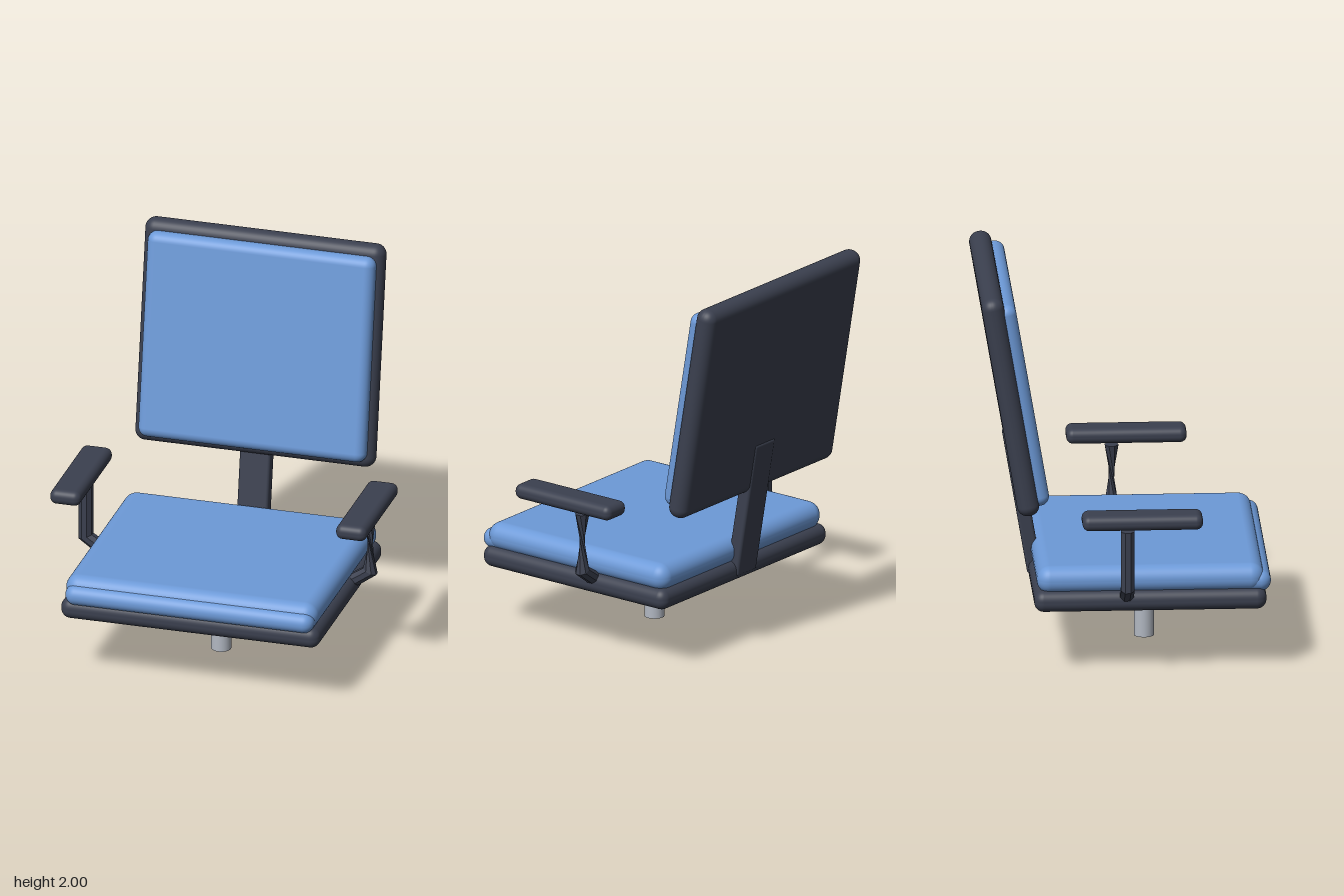
import * as THREE from 'three';
import { RoundedBoxGeometry } from 'three/addons/geometries/RoundedBoxGeometry.js';

const fabric = new THREE.MeshStandardMaterial({ color: 0x6d9ad8 });
fabric.name = 'blue fabric';
const plastic = new THREE.MeshStandardMaterial({ color: 0x3b404f });
plastic.name = 'dark plastic';
const armPlastic = plastic.clone();
armPlastic.name = 'dark arm plastic';
armPlastic.side = THREE.DoubleSide;
const metal = new THREE.MeshStandardMaterial({ color: 0xb2b8c2 });
metal.name = 'grey metal';

function pad(name, material, size, position, radius) {
  const mesh = new THREE.Mesh(new RoundedBoxGeometry(...size, 5, radius), material);
  mesh.name = name;
  mesh.position.set(...position);
  return mesh;
}

// Bent eight-sided arm post; twist (in steps of 1/8 turn) turns the upper ring
function armPostGeometry(side, twist) {
  const sides = 8, r = 0.038;
  const slope = Math.PI / 4;
  // x, y, tilt of the ring in the xy plane, stretch at the mitred elbow, twist
  const rings = [
    [0.675, 0.42, slope, 1, 0],
    [0.762, 0.48, slope / 2, 1.08, 0],
    [0.762, 0.79, 0, 1, twist],
  ];
  const points = [], index = [];
  for (const [x, y, tilt, stretch, turn] of rings) {
    for (let i = 0; i < sides; i++) {
      const a = ((i + turn + 0.5) / sides) * Math.PI * 2;
      const u = Math.cos(a) * r * stretch;
      points.push(side * (x + u * Math.cos(tilt)), y - u * Math.sin(tilt), Math.sin(a) * r);
    }
  }
  const face = (a, b, c) => index.push(...(side > 0 ? [a, c, b] : [a, b, c]));
  for (let j = 0; j < rings.length - 1; j++) {
    for (let i = 0; i < sides; i++) {
      const n = (i + 1) % sides;
      const a = j * sides + i, b = j * sides + n;
      face(a, b, b + sides);
      face(a, b + sides, a + sides);
    }
  }
  // End caps
  const top = (rings.length - 1) * sides;
  for (let i = 1; i < sides - 1; i++) {
    face(0, i + 1, i);
    face(top, top + i, top + i + 1);
  }
  const geometry = new THREE.BufferGeometry();
  geometry.setAttribute('position', new THREE.Float32BufferAttribute(points, 3));
  geometry.setIndex(index);
  const flat = geometry.toNonIndexed();
  flat.computeVertexNormals();
  return flat;
}

export function createModel() {
  const chair = new THREE.Group();
  chair.name = 'officeChair';

  // Seat
  const seat = new THREE.Group();
  seat.name = 'seat';
  seat.add(
    pad('seatBase', plastic, [1.385, 0.112, 1.195], [0, 0.386, 0.123], 0.05),
    pad('seatCushion', fabric, [1.35, 0.146, 1.17], [0, 0.492, 0.125], 0.07),
    pad('seatFrontLip', fabric, [1.33, 0.108, 0.3], [0, 0.471, 0.595], 0.053),
    pad('underSeatPlate', plastic, [0.57, 0.08, 0.62], [0, 0.32, 0.075], 0.02),
  );
  chair.add(seat);

  // Gas lift column
  const column = new THREE.Mesh(new THREE.CylinderGeometry(0.052, 0.052, 0.3, 24), metal);
  column.name = 'column';
  column.position.set(0, 0.15, 0.125);
  chair.add(column);

  // Leaning backrest
  const tilt = -THREE.MathUtils.degToRad(9.7);
  const back = new THREE.Group();
  back.name = 'backrest';
  back.position.set(0, 1.415, -0.594);
  back.rotation.x = tilt;
  back.add(
    pad('backFrame', plastic, [1.286, 1.187, 0.115], [0, 0, 0], 0.055),
    pad('backCushion', fabric, [1.22, 1.095, 0.11], [0, -0.01, 0.06], 0.05),
  );
  chair.add(back);

  const support = pad('backSupport', plastic, [0.165, 0.75, 0.075], [0, 0.735, -0.504], 0.015);
  support.rotation.x = tilt;
  chair.add(support);

  // Armrests: straight post on the right, twisted post on the left
  for (const side of [-1, 1]) {
    const arm = new THREE.Group();
    arm.name = side > 0 ? 'leftArmrest' : 'rightArmrest';
    const post = new THREE.Mesh(armPostGeometry(side, side > 0 ? 3 : 0), armPlastic);
    post.name = 'armPost';
    arm.add(post, pad('armPad', plastic, [0.164, 0.08, 0.62], [side * 0.766, 0.851, 0.075], 0.036));
    chair.add(arm);
  }
  return chair;
}
